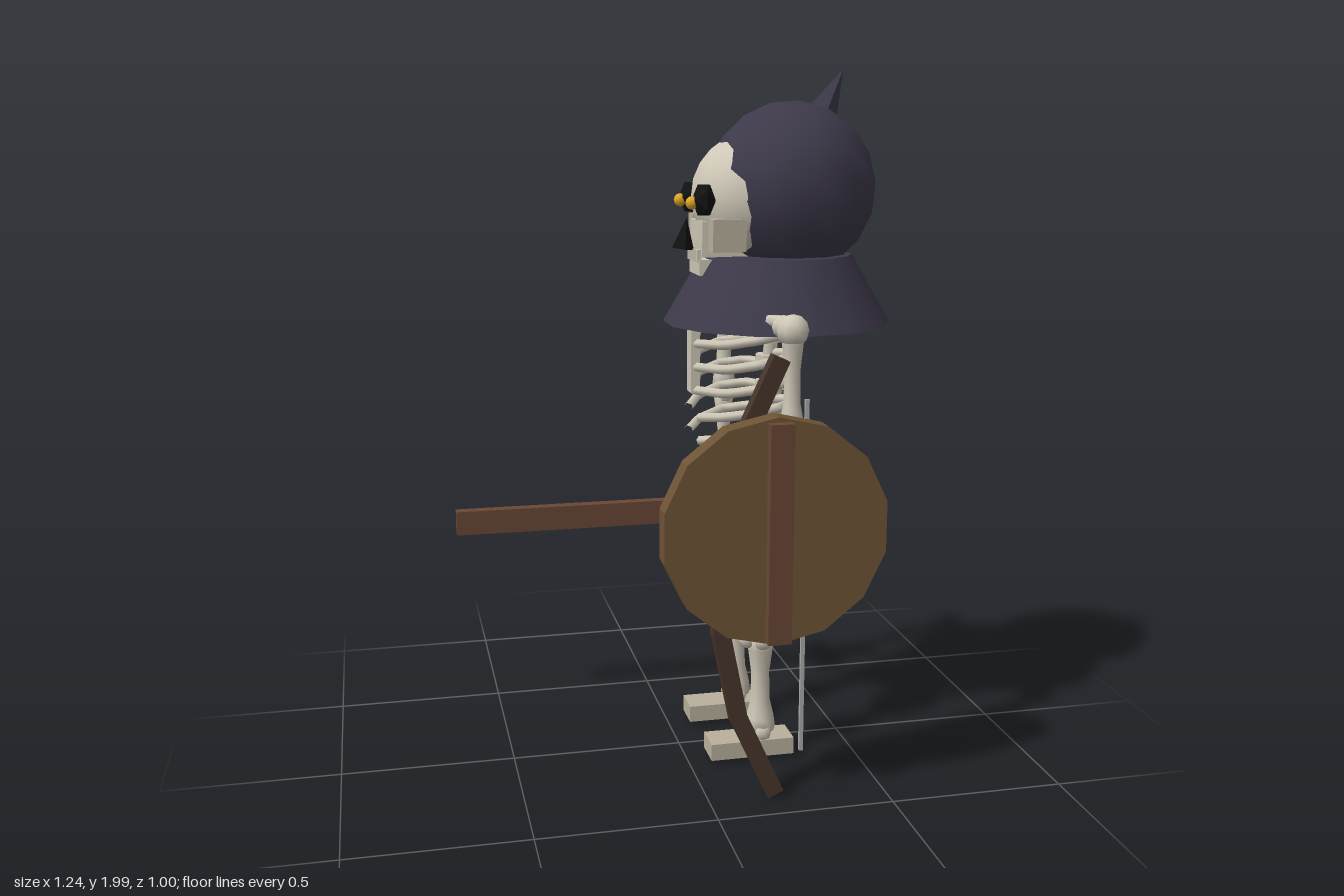
import * as THREE from 'three';

const mat = (color, flatShading = false) => new THREE.MeshStandardMaterial({ color, flatShading });
const BONE = mat(0xcfc8b8), BONE_FLAT = mat(0xb9b09c, true), CLOTH = mat(0x3d394a), CLOTH_FLAT = mat(0x3d394a, true);
const BLACK = mat(0x111111, true), YELLOW = mat(0xe0a92a), STEEL = mat(0x55565e, true);
const WOOD = mat(0x6f5436, true), RED_WOOD = mat(0x694835, true), DARK_WOOD = mat(0x48352a, true), STRING = mat(0xaaaaaa);

function add(parent, name, geometry, material, x = 0, y = 0, z = 0) {
  const mesh = new THREE.Mesh(geometry, material);
  mesh.name = name;
  mesh.position.set(x, y, z);
  parent.add(mesh);
  return mesh;
}
const group = (parent, name) => {
  const g = new THREE.Group();
  g.name = name;
  parent.add(g);
  return g;
};
const box = (w, h, d) => new THREE.BoxGeometry(w, h, d);
const ball = (r, w = 8, h = 6) => new THREE.SphereGeometry(r, w, h);

// Long bone: waisted shaft with paired knobs at both ends
function bone(parent, name, x, z, yTop, yBottom, r) {
  const g = group(parent, name), len = yTop - yBottom;
  const profile = [[0.5, 0.04], [0.95, 0.1], [0.85, 0.2], [0.6, 0.35], [0.55, 0.6], [0.75, 0.82], [0.9, 0.92], [0.5, 0.97]]
    .map(([k, t]) => new THREE.Vector2(k * r, yBottom + t * len));
  add(g, 'shaft', new THREE.LatheGeometry(profile, 8), BONE, x, 0, z);
  for (const y of [yTop - r * 0.55, yBottom + r * 0.55])
    for (const s of [-1, 1]) add(g, 'knob', ball(r * 0.62), BONE, x, y, z + s * r * 0.42);
}

function buildHead(body) {
  const head = group(body, 'head');
  add(head, 'skull', ball(1, 16, 12), BONE, 0.235, 1.65, 0).scale.set(0.195, 0.185, 0.18);
  add(head, 'upperJaw', box(0.14, 0.1, 0.15), BONE, 0.125, 1.535, 0);
  add(head, 'lowerJaw', box(0.15, 0.045, 0.13), BONE, 0.125, 1.455, 0);
  for (let i = -2; i <= 2; i++) add(head, 'tooth', box(0.014, 0.035, 0.016), BONE, 0.05, 1.487, i * 0.026);
  for (const s of [-1, 1]) {
    add(head, 'eyeSocket', new THREE.IcosahedronGeometry(1, 0), BLACK, 0.058, 1.645, s * 0.083).scale.set(0.035, 0.05, 0.045);
    add(head, 'eye', ball(0.019), YELLOW, 0.025, 1.637, s * 0.076);
    add(head, 'cheekbone', box(0.095, 0.09, 0.055), BONE_FLAT, 0.115, 1.55, s * 0.125);
  }
  const nose = add(head, 'nose', new THREE.ConeGeometry(0.032, 0.09, 4), BLACK, 0.022, 1.548, 0);
  nose.rotation.z = -0.12;

  const hood = group(body, 'hood');
  add(hood, 'hoodCrown', ball(0.247, 12, 9), CLOTH, 0.33, 1.67, 0).rotation.z = -0.1;
  const tip = add(hood, 'hoodTip', new THREE.ConeGeometry(0.052, 0.15, 5), CLOTH_FLAT, 0.447, 1.935, 0);
  tip.rotation.z = -0.48;
  add(hood, 'shoulderCape', new THREE.CylinderGeometry(0.215, 0.328, 0.195, 14), CLOTH, 0.293, 1.388, 0);
}

function buildTorso(body) {
  const torso = group(body, 'torso');
  // Vertebrae, each with a small spur at the back
  for (let i = 0; i < 9; i++) {
    const y = 0.865 + i * 0.077;
    add(torso, 'vertebra', new THREE.CylinderGeometry(0.042, 0.042, 0.04, 8), BONE, 0.275, y, 0);
    if (i < 7) add(torso, 'vertebraSpur', box(0.055, 0.026, 0.026), BONE, 0.325, y, 0).rotation.z = -0.3;
  }
  add(torso, 'spinalCord', new THREE.CylinderGeometry(0.018, 0.018, 0.7, 6), BONE, 0.275, 1.16, 0);
  // Ribs: mirrored bars that bow out and drop towards the breastbone
  const widths = [0.2, 0.225, 0.235, 0.235, 0.225, 0.19];
  widths.forEach((w, i) => {
    const y = 0.995 + i * 0.068, open = i < 2 ? 0.075 : 0.012;
    for (const s of [-1, 1]) {
      const path = new THREE.CurvePath();
      const pts = [[0.29, 0, 0.02], [0.32, 0.012, w * 0.45], [0.26, 0.012, w * 0.88], [0.18, 0, w * 0.96],
        [0.1, -0.018, w * 0.75], [0.05, -0.035, open]].map(([x, dy, z]) => new THREE.Vector3(x, y + dy, s * z));
      for (let k = 1; k < pts.length; k++) path.add(new THREE.LineCurve3(pts[k - 1], pts[k]));
      add(torso, 'rib', new THREE.TubeGeometry(path, 15, 0.014, 6), BONE);
    }
  });
  add(torso, 'breastbone', box(0.026, 0.22, 0.055), BONE, 0.048, 1.2, 0);
  for (const s of [-1, 1]) {
    const collar = add(torso, 'collarbone', new THREE.CylinderGeometry(0.018, 0.018, 0.33, 6), BONE, 0.15, 1.325, s * 0.175);
    collar.quaternion.setFromUnitVectors(new THREE.Vector3(0, 1, 0), new THREE.Vector3(0.5, 0.05, s).normalize());
    // Hip blades
    const hip = add(torso, 'hipBone', new THREE.IcosahedronGeometry(1, 0), BONE_FLAT, 0.225, 0.745, s * 0.115);
    hip.scale.set(0.12, 0.085, 0.1);
    hip.rotation.x = s * 0.2;
  }
  add(torso, 'sacrum', box(0.13, 0.085, 0.165), BONE, 0.27, 0.8, 0);
}

function buildLimbs(body) {
  for (const s of [-1, 1]) {
    const leg = group(body, s > 0 ? 'shieldSideLeg' : 'swordSideLeg'), z = s * 0.142;
    bone(leg, 'thighBone', 0.22, z, 0.72, 0.37, 0.06);
    bone(leg, 'shinBone', 0.22, z, 0.4, 0.06, 0.05);
    add(leg, 'kneecap', ball(0.03), BONE, 0.18, 0.375, z);
    add(leg, 'foot', box(0.25, 0.05, 0.096), BONE_FLAT, 0.187, 0.045, z);

    const arm = group(body, s > 0 ? 'shieldArm' : 'swordArm'), az = s * 0.372;
    add(arm, 'shoulder', ball(0.045), BONE, 0.233, 1.315, az);
    add(arm, 'shoulderBlade', ball(0.032), BONE, 0.22, 1.32, s * 0.325);
    bone(arm, 'upperArm', 0.233, az, 1.34, 1.0, 0.04);
    bone(arm, 'forearm', 0.233, az, 1.02, 0.69, 0.035);
    add(arm, 'palm', box(0.085, 0.075, 0.06), BONE, 0.215, 0.675, az);
    for (let i = 0; i < 4; i++) {
      const finger = add(arm, 'finger', new THREE.ConeGeometry(0.009, 0.11, 5), BONE, 0.183 + i * 0.022, 0.592, az + (i % 2 - 0.5) * 0.035);
      finger.rotation.x = Math.PI;
    }
    add(arm, 'thumb', box(0.018, 0.06, 0.018), BONE, 0.175, 0.645, az - s * 0.03);
  }
}

function buildGear(root) {
  // Wooden sword held level
  const sword = group(root, 'sword');
  add(sword, 'blade', box(0.81, 0.075, 0.036), RED_WOOD, -0.22, 0.633, -0.387);
  add(sword, 'grip', box(0.2, 0.05, 0.036), RED_WOOD, 0.275, 0.633, -0.387);
  add(sword, 'guard', box(0.062, 0.048, 0.235), STEEL, 0.178, 0.633, -0.385);

  // Round shield with a central plank
  const shield = group(root, 'shield');
  add(shield, 'shieldDisc', new THREE.CylinderGeometry(0.312, 0.312, 0.064, 14), WOOD, 0.163, 0.797, 0.439).rotation.x = Math.PI / 2;
  add(shield, 'shieldPlank', box(0.065, 0.6, 0.03), RED_WOOD, 0.166, 0.795, 0.485);

  // Bow made of five straight staves, with its string
  const bow = group(root, 'bow');
  const pts = [[0.185, 0.025], [0.08, 0.255], [0.03, 0.5], [0.03, 0.77], [0.08, 1.015], [0.185, 1.245]];
  for (let i = 1; i < pts.length; i++) {
    const [x0, y0] = pts[i - 1], [x1, y1] = pts[i], dx = x1 - x0, dy = y1 - y0;
    const stave = add(bow, 'bowStave', box(0.048, Math.hypot(dx, dy) + 0.015, 0.038), DARK_WOOD, (x0 + x1) / 2, (y0 + y1) / 2, 0.39);
    stave.rotation.z = -Math.atan2(dx, dy);
  }
  add(bow, 'bowString', box(0.011, 1.0, 0.011), STRING, 0.263, 0.637, 0.39);
}

export function createModel() {
  const root = new THREE.Group();
  root.name = 'skeletonWarrior';
  const body = group(root, 'body');
  body.position.z = -0.022;
  buildHead(body);
  buildTorso(body);
  buildLimbs(body);
  buildGear(root);
  return root;
}
